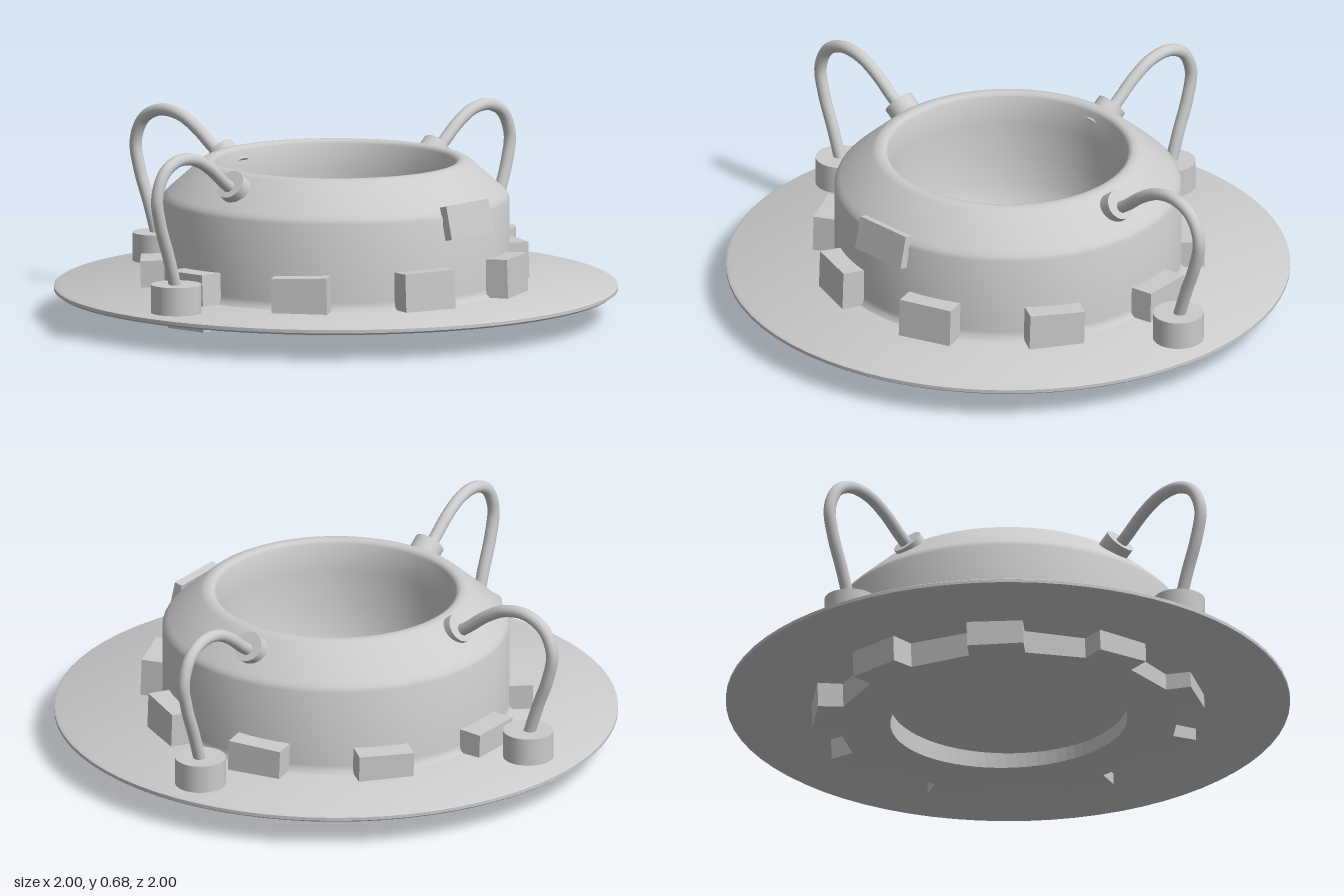
import * as THREE from 'three';
import { toCreasedNormals } from 'three/addons/utils/BufferGeometryUtils.js';

const material = new THREE.MeshStandardMaterial({ color: 0xcccccc });

function part(name, geometry, parent) {
  const mesh = new THREE.Mesh(geometry, material);
  mesh.name = name;
  parent.add(mesh);
  return mesh;
}

function lathe(points, crease) {
  const g = new THREE.LatheGeometry(points.map(([r, y]) => new THREE.Vector2(r, y)), 72);
  return toCreasedNormals(g, crease);
}

// Ring with nine square teeth, one pointing to the back
function toothedRing() {
  const teeth = 9, root = 0.61, tip = 0.69, half = 0.1;
  const shape = new THREE.Shape();
  for (let i = 0; i < teeth; i++) {
    const a = Math.PI / 2 + (i * 2 * Math.PI) / teeth;
    const c = Math.cos(a), s = Math.sin(a);
    const corners = [[root - 0.01, -half], [tip, -half], [tip, half], [root - 0.01, half]];
    corners.forEach(([r, t], k) => {
      const x = c * r - s * t, y = s * r + c * t;
      if (i === 0 && k === 0) shape.moveTo(x, y);
      else shape.lineTo(x, y);
    });
  }
  shape.closePath();
  const hole = new THREE.Path();
  hole.absarc(0, 0, 0.42, 0, Math.PI * 2, true);
  shape.holes.push(hole);
  const g = new THREE.ExtrudeGeometry(shape, { depth: 0.205, bevelEnabled: false, curveSegments: 36 });
  g.translate(0, 0, -0.1025);
  g.rotateX(-Math.PI / 2);
  return g;
}

// Socket, bent hose and collar, laid out along +x
function hoseAssembly(name) {
  const group = new THREE.Group();
  group.name = name;
  part('socket', new THREE.CylinderGeometry(0.09, 0.09, 0.11, 32), group).position.set(0.85, 0.167, 0);

  const path = new THREE.CatmullRomCurve3([
    [0.53, 0.515], [0.585, 0.55], [0.67, 0.615], [0.75, 0.655], [0.84, 0.662],
    [0.915, 0.625], [0.953, 0.54], [0.935, 0.44], [0.89, 0.32], [0.85, 0.2],
  ].map(([x, y]) => new THREE.Vector3(x, y, 0)));
  part('hose', new THREE.TubeGeometry(path, 48, 0.022, 14), group);

  const collar = part('collar', new THREE.CylinderGeometry(0.055, 0.055, 0.1, 28), group);
  collar.position.set(0.519, 0.515, 0);
  collar.rotation.z = -0.93;
  return group;
}

export function createModel() {
  const model = new THREE.Group();
  model.name = 'flangedDrum';

  // Thin round base plate
  part('basePlate', lathe([
    [0, 0.096], [0.99, 0.096], [1, 0.103], [1, 0.115], [0.99, 0.121], [0, 0.121],
  ], 0.9), model);

  // Drum with sloping shoulder and open bowl
  part('drum', lathe([
    [0.63, 0.12], [0.618, 0.132], [0.615, 0.15], [0.615, 0.43], [0.608, 0.445], [0.595, 0.458],
    [0.48, 0.56], [0.465, 0.568], [0.445, 0.57], [0.433, 0.566], [0.426, 0.555],
    [0.422, 0.45], [0.41, 0.33], [0.39, 0.23], [0.365, 0.165], [0.335, 0.135], [0.3, 0.125], [0, 0.124],
  ], 0.9), model);

  // Slightly tilted toothed ring through the plate
  const ring = part('toothedRing', toothedRing(), model);
  ring.position.y = 0.131;
  ring.rotation.x = -0.039;

  // Leaning name plate on the front
  const plate = part('frontPlate', new THREE.BoxGeometry(0.23, 0.12, 0.03), model);
  plate.position.set(-0.003, 0.415, 0.617);
  plate.rotation.x = -0.22;

  // Hoses at left, back and right
  [['leftHose', 0, 0, 0.015 - 0.025], ['backHose', Math.PI / 2, -0.015, 0.028], ['rightHose', Math.PI, -0.004, -0.01]]
    .forEach(([name, turn, x, z]) => {
      const hose = hoseAssembly(name);
      hose.rotation.y = turn;
      hose.position.set(x, 0, z);
      model.add(hose);
    });

  return model;
}
